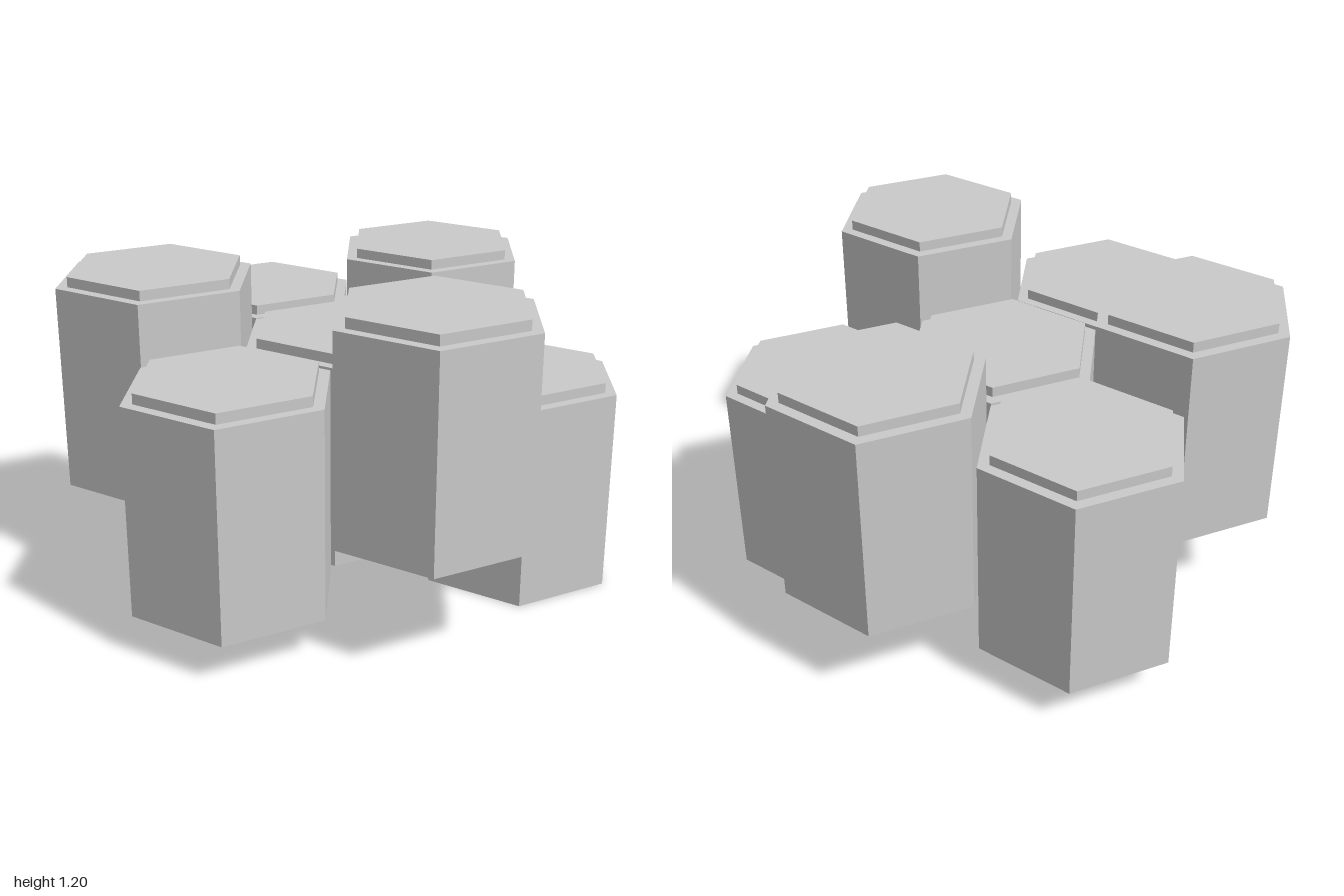
import * as THREE from 'three';

export function createModel() {
  const group = new THREE.Group();
  const material = new THREE.MeshStandardMaterial({ color: 0xcccccc, flatShading: true });
  const bodyHeight = 0.756, capHeight = 0.037;

  // Six-sided prism standing on y = 0, with corners pointing along x
  const hexPrism = (radius, height) =>
    new THREE.CylinderGeometry(radius, radius, height, 6, 1, false, Math.PI / 2)
      .translate(0, height / 2, 0);
  const bodyGeometry = hexPrism(0.377, bodyHeight);
  const capGeometry = hexPrism(0.333, capHeight);

  // name, x, base height, z
  const columns = [
    ['centreColumn', -0.003, 0.15, -0.002],
    ['frontColumn', -0.006, 0.15, 0.673],
    ['backColumn', 0.002, 0.337, -0.674],
    ['leftFrontColumn', 0.579, 0.41, 0.33],
    ['leftBackColumn', 0.579, 0, -0.338],
    ['rightFrontColumn', -0.583, 0.368, 0.33],
    ['rightBackColumn', -0.576, 0.15, -0.34],
  ];

  for (const [name, x, y, z] of columns) {
    const column = new THREE.Group();
    column.name = name;
    column.position.set(x, y, z);

    const body = new THREE.Mesh(bodyGeometry, material);
    body.name = 'columnBody';

    // Narrower raised slab on top
    const cap = new THREE.Mesh(capGeometry, material);
    cap.name = 'columnCap';
    cap.position.y = bodyHeight;

    column.add(body, cap);
    group.add(column);
  }
  return group;
}
